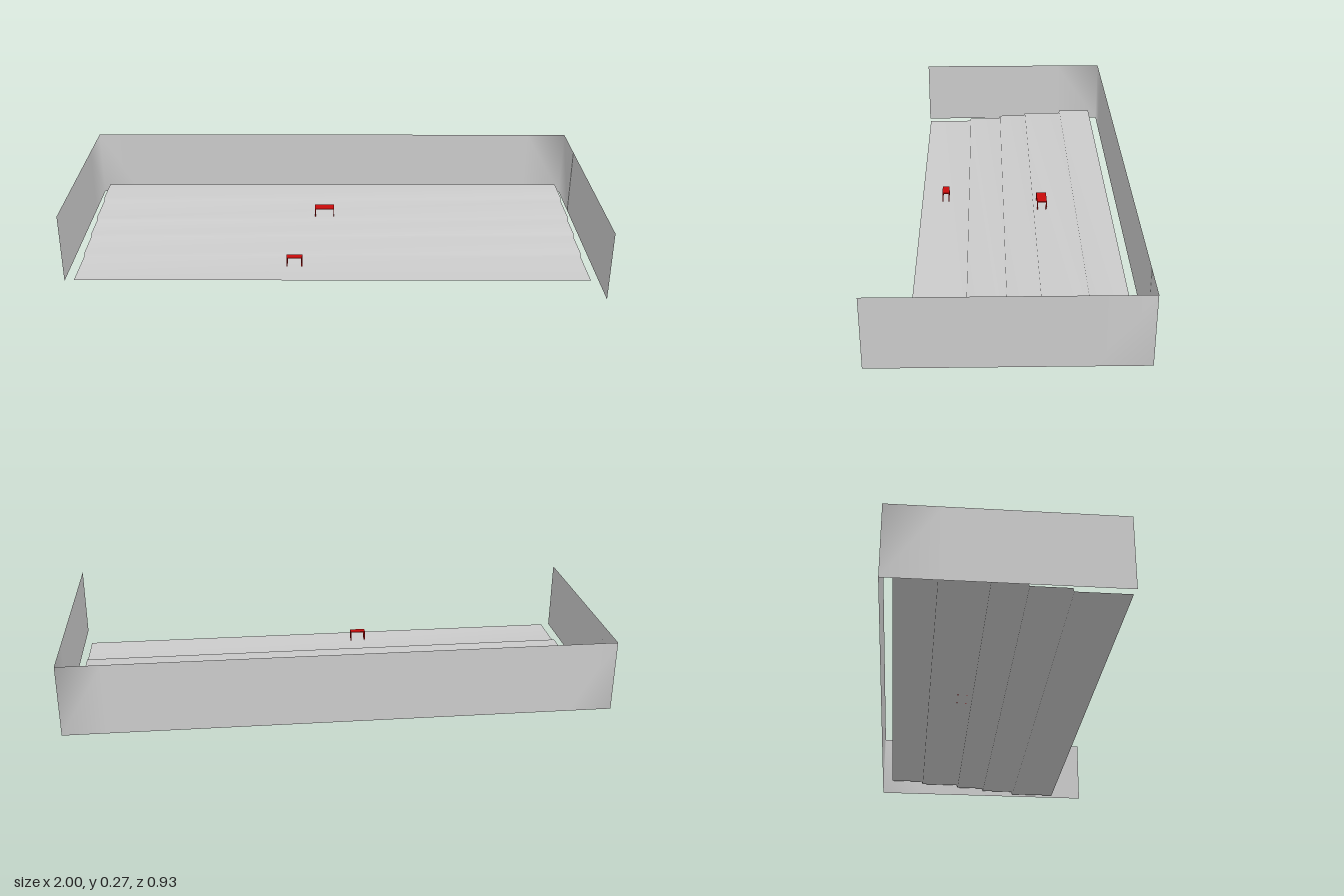
import * as THREE from 'three';

const grey = new THREE.MeshStandardMaterial({ color: 0xcccccc, side: THREE.DoubleSide });
const red = new THREE.MeshStandardMaterial({ color: 0xc80a0a, side: THREE.DoubleSide });

// Smooth open sheet joining two rows of points of equal length
function sheet(rowA, rowB, name) {
  const positions = [], index = [];
  rowA.forEach((p, i) => {
    positions.push(...p, ...rowB[i]);
    if (i) {
      const k = 2 * i;
      index.push(k - 2, k, k - 1, k, k + 1, k - 1);
    }
  });
  const geo = new THREE.BufferGeometry();
  geo.setAttribute('position', new THREE.Float32BufferAttribute(positions, 3));
  geo.setIndex(index);
  geo.computeVertexNormals();
  const mesh = new THREE.Mesh(geo, grey);
  mesh.name = name;
  return mesh;
}

// Table with a thin top on four slim legs
function table(name, x0, x1, z0, z1, y0, y1) {
  const group = new THREE.Group();
  group.name = name;
  const thick = 0.003, leg = 0.004;
  const top = new THREE.Mesh(new THREE.BoxGeometry(x1 - x0, thick, z1 - z0), red);
  top.name = 'tableTop';
  top.position.set((x0 + x1) / 2, y1 - thick / 2, (z0 + z1) / 2);
  group.add(top);
  const legGeo = new THREE.BoxGeometry(leg, y1 - y0 - thick, leg);
  for (const x of [x0 + leg / 2, x1 - leg / 2]) {
    for (const z of [z0 + leg / 2, z1 - leg / 2]) {
      const mesh = new THREE.Mesh(legGeo, red);
      mesh.name = 'tableLeg';
      mesh.position.set(x, (y0 + y1 - thick) / 2, z);
      group.add(mesh);
    }
  }
  return group;
}

export function createModel() {
  const model = new THREE.Group();
  model.name = 'terracedStage';

  // Three-sided enclosing wall, shaded softly into the corners
  const plan = [[-1, 0.335], [-1, -0.27], [-1, -0.466], [-0.84, -0.466],
    [0.84, -0.466], [1, -0.466], [1, -0.27], [1, 0.467]];
  model.add(sheet(plan.map(([x, z]) => [x, 0, z]), plan.map(([x, z]) => [x, 0.268, z]), 'wall'));

  // Terraced floor rising towards the back
  const rise = 0.0125;
  const profile = [[0.33, 0]];
  [0.14, 0, -0.12, -0.285].forEach((z, i) => {
    profile.push([z + 0.002, i * rise], [z - 0.002, (i + 1) * rise]);
  });
  profile.push([-0.425, 4 * rise]);
  model.add(sheet(profile.map(([z, y]) => [0.971, y + 0.001, z]),
    profile.map(([z, y]) => [-0.966, y + 0.001, z]).map((p) => p), 'terracedFloor'));

  // Two small tables
  model.add(table('rearTable', -0.07, 0.01, -0.175, -0.136, 0.038, 0.073));
  model.add(table('frontTable', -0.172, -0.112, 0.218, 0.246, 0.013, 0.051));
  return model;
}
